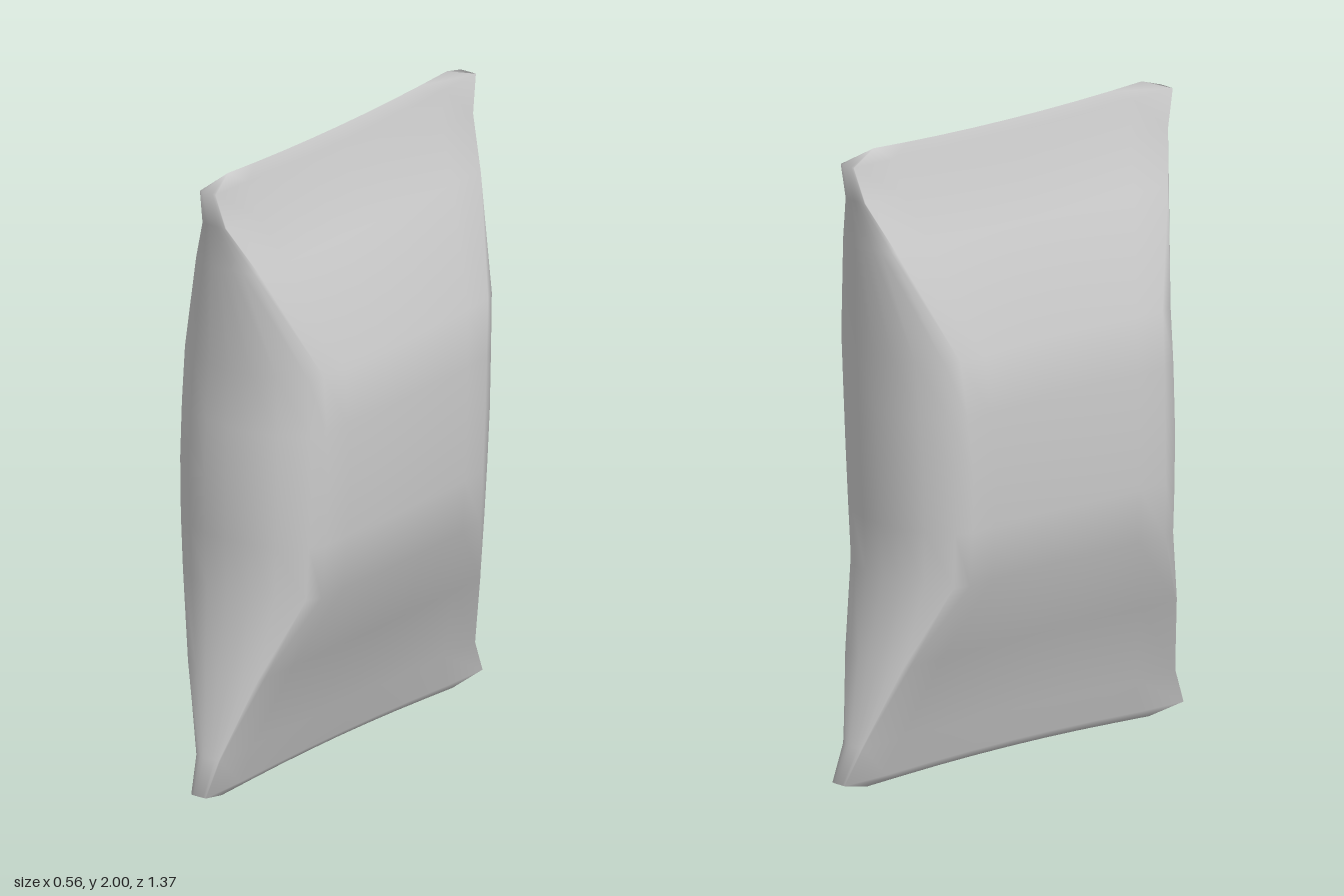
import * as THREE from 'three';
import { mergeVertices } from 'three/addons/utils/BufferGeometryUtils.js';

// Rows from bottom to top: height, half thickness, front edge z, back edge z
const ROWS = [
  [0.00, 0.000, 0.57, 0.57],
  [0.03, 0.028, 0.685, 0.685],
  [0.14, 0.045, 0.64, 0.63],
  [0.40, 0.145, 0.59, 0.57],
  [0.65, 0.255, 0.545, 0.515],
  [0.82, 0.265, 0.55, 0.525],
  [1.00, 0.272, 0.55, 0.535],
  [1.18, 0.265, 0.545, 0.545],
  [1.36, 0.255, 0.535, 0.555],
  [1.70, 0.120, 0.57, 0.59],
  [1.85, 0.045, 0.61, 0.62],
  [1.965, 0.030, 0.64, 0.65],
  [2.00, 0.000, 0.54, 0.54],
];

// Quarter of a cross-section: fraction of thickness, inset from the end edge
// (the inset shrinks as the pillow thins towards its seams)
const END = [[0, 0], [0.32, 0.008], [0.62, 0.035], [0.92, 0.095], [1, 0.15]];
const FACE = [0.75, 0.5, 0.25, 0, -0.25, -0.5, -0.75];

// One closed loop of points around the pillow at a given row
function ring([y, w, front, back]) {
  const k = w / 0.27;
  const inset = k * k;
  const side = [];
  END.forEach(([t, d]) => side.push([t * w, front - d * inset]));
  const zf = front - 0.15 * inset, zb = back - 0.15 * inset;
  FACE.forEach((f) => side.push([w, f > 0 ? f * zf : f * zb]));
  [...END].reverse().forEach(([t, d]) => side.push([t * w, -back + d * inset]));
  const other = side.slice(1, -1).reverse().map(([x, z]) => [-x, z]);
  return [...side, ...other].map(([x, z]) => {
    // Seams dip slightly in the middle, and the body bends a little in x
    const dip = Math.max(0, 1 - (z / 0.55) ** 2) * (y - 1) ** 5 * 0.015;
    const bend = k * (0.012 * Math.cos(z * 4) + 0.012 * z);
    return [x + bend, y - dip, z];
  });
}

function pillowGeometry() {
  const rings = ROWS.map(ring);
  const n = rings[0].length;
  const index = [];
  for (let r = 0; r < rings.length - 1; r++) {
    for (let i = 0; i < n; i++) {
      const a = r * n + i, b = r * n + ((i + 1) % n);
      index.push(a, b, a + n, b, b + n, a + n);
    }
  }
  const geometry = new THREE.BufferGeometry();
  geometry.setAttribute('position', new THREE.Float32BufferAttribute(rings.flat(2), 3));
  geometry.setIndex(index);
  // Join both halves along the top and bottom seams
  const merged = mergeVertices(geometry, 1e-4);
  merged.computeVertexNormals();
  return merged;
}

export function createModel() {
  const model = new THREE.Group();
  model.name = 'pillow';
  const cushion = new THREE.Mesh(
    pillowGeometry(),
    new THREE.MeshStandardMaterial({ color: 0xcccccc })
  );
  cushion.name = 'cushion';
  model.add(cushion);
  return model;
}
